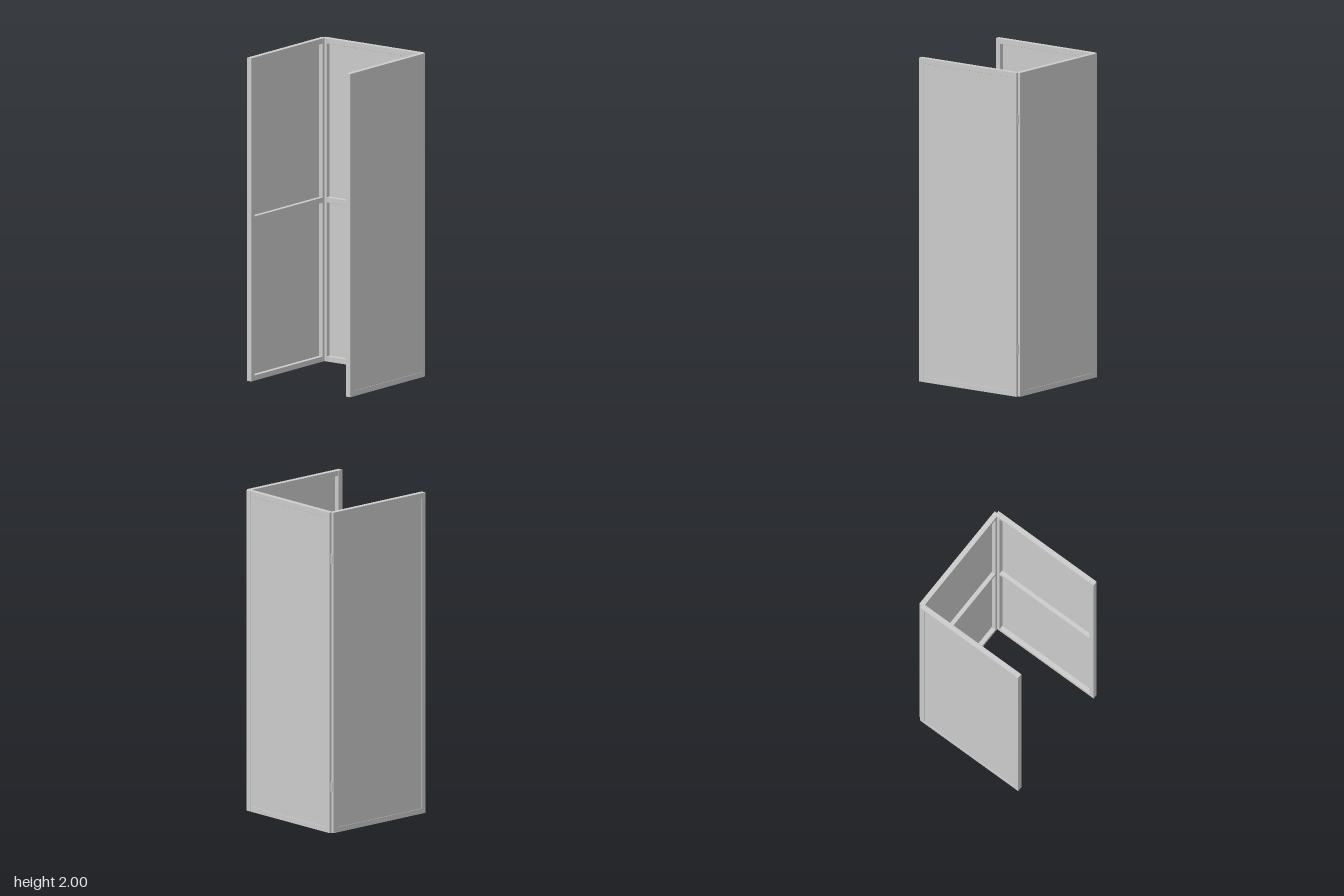
import * as THREE from 'three';
import { RoundedBoxGeometry } from 'three/addons/geometries/RoundedBoxGeometry.js';

const HEIGHT = 2, DEPTH = 0.032, BAR = 0.033;
const material = new THREE.MeshStandardMaterial({ color: 0xcccccc });

function addMesh(parent, name, geometry, x, y, z) {
  const mesh = new THREE.Mesh(geometry, material);
  mesh.name = name;
  mesh.position.set(x, y, z);
  parent.add(mesh);
  return mesh;
}

// A timber bar with finely eased edges
const bar = (w, h, d) => new RoundedBoxGeometry(w, h, d, 1, 0.0012);

// One framed leaf, centred on x, standing on y = 0, outer face towards +z
function makePanel(name, width) {
  const panel = new THREE.Group();
  panel.name = name;
  const inner = width - 2 * BAR;

  for (const s of [-1, 1])
    addMesh(panel, 'post', bar(BAR, HEIGHT, DEPTH), s * (width - BAR) / 2, HEIGHT / 2, 0);

  for (const y of [BAR / 2, HEIGHT - BAR / 2])
    addMesh(panel, 'rail', bar(inner, BAR, DEPTH), 0, y, 0);

  // Middle rail sits behind the cloth and shows on the inside only
  addMesh(panel, 'middleRail', bar(inner, BAR, DEPTH - 0.005), 0, HEIGHT / 2, -0.0025);

  // Thin cloth near the outer face
  addMesh(panel, 'cloth', new THREE.BoxGeometry(inner, HEIGHT - 2 * BAR, 0.002), 0, HEIGHT / 2, DEPTH / 2 - 0.003);
  return panel;
}

// Butt hinge in the notch between two posts; side is the sign of z
function makeHinge(y, side) {
  const hinge = new THREE.Group();
  hinge.name = 'hinge';
  hinge.position.set(0.365, y, side * 0.375);
  addMesh(hinge, 'hingeBarrel', new THREE.CylinderGeometry(0.0042, 0.0042, 0.06, 12), 0.0045, 0, side * 0.0045);
  addMesh(hinge, 'hingeLeaf', new THREE.BoxGeometry(0.0016, 0.06, 0.009), 0.0008, 0, side * 0.0045);
  addMesh(hinge, 'hingeLeaf', new THREE.BoxGeometry(0.009, 0.06, 0.0016), 0.0045, 0, side * 0.0008);
  return hinge;
}

export function createModel() {
  const screen = new THREE.Group();
  screen.name = 'foldingScreen';

  const front = makePanel('frontPanel', 0.749);
  front.position.set(-0.0095, 0, 0.375);

  const back = makePanel('backPanel', 0.749);
  back.rotation.y = Math.PI;
  back.position.set(-0.0095, 0, -0.375);

  const middle = makePanel('sidePanel', 0.75);
  middle.rotation.y = Math.PI / 2;
  middle.position.x = 0.366;

  screen.add(front, back, middle);
  for (const side of [-1, 1])
    for (const y of [0.29, 1.71]) screen.add(makeHinge(y, side));
  return screen;
}
